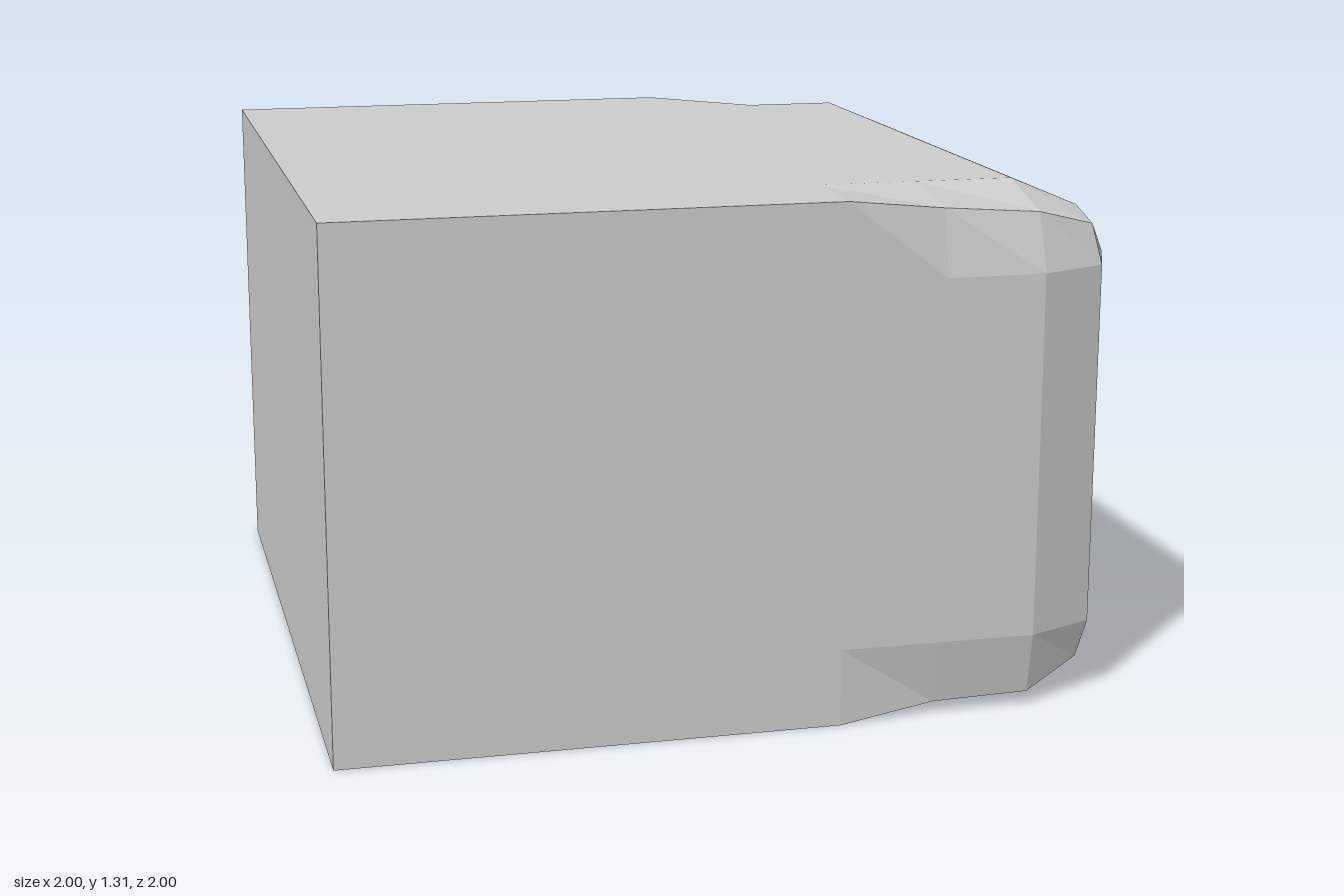
import * as THREE from 'three';

const H = 1.307, MID = H / 2, IN_Y = 0.195;
const material = new THREE.MeshStandardMaterial({ color: 0xcccccc, flatShading: true });

// Flat-shaded mesh from quads of Vector3 corners
function quadMesh(name, quads) {
  const pos = [];
  for (const [a, b, c, d] of quads) {
    for (const [p, q, r] of [[a, b, c], [a, c, d]]) {
      const area = q.clone().sub(p).cross(r.clone().sub(p)).length();
      if (area > 1e-6) for (const v of [p, q, r]) pos.push(v.x, v.y, v.z);
    }
  }
  const g = new THREE.BufferGeometry();
  g.setAttribute('position', new THREE.Float32BufferAttribute(pos, 3));
  g.computeVertexNormals();
  const mesh = new THREE.Mesh(g, material);
  mesh.name = name;
  return mesh;
}

// Cross-section: flat sides inset by e (z, y), corners inset by c (z, y)
function section({ x, e = [0, 0], c = [0, 0], cx = x, frontTop = c }) {
  const ring = [];
  for (const [sz, sy] of [[-1, 1], [1, 1], [1, -1], [-1, -1]]) {
    const k = sz > 0 && sy > 0 ? frontTop : c;
    const pts = [
      new THREE.Vector3(x, MID + sy * (MID - IN_Y), sz * (1 - e[0])),
      new THREE.Vector3(cx, MID + sy * (MID - k[1]), sz * (1 - k[0])),
      new THREE.Vector3(x, MID + sy * (MID - e[1]), sz * 0.75),
    ];
    if (sz * sy > 0) pts.reverse();
    ring.push(...pts);
  }
  return ring;
}

export function createModel() {
  const group = new THREE.Group();
  group.name = 'recessedBlock';

  // Block: square at the back end, rounded towards +x
  const rings = [
    { x: -1 },
    { x: 0.25 },
    { x: 0.5, c: [0.03, 0.03] },
    { x: 0.75, c: [0.032, 0.035], frontTop: [0.055, 0.053] },
    { x: 0.925, cx: 0.905, e: [0.073, 0.073], c: [0.095, 0.095] },
    { x: 1, e: [0.25, IN_Y], c: [0.25, IN_Y] },
  ].map(section);
  const skin = [];
  const n = rings[0].length;
  for (let i = 0; i < rings.length - 1; i++) {
    const a = rings[i], b = rings[i + 1];
    for (let j = 0; j < n; j++) {
      const k = (j + 1) % n;
      skin.push([a[j], a[k], b[k], b[j]]);
    }
  }
  // Flat end at -x
  const s = rings[0];
  skin.push([s[1], s[10], s[7], s[4]]);
  group.add(quadMesh('block', skin));

  // Recess rim as (z, y offset from its middle), counter-clockwise from +x
  const rim = [
    [-0.5, 0], [-0.5, 0.07], [-0.25, 0.25], [0.25, 0.25], [0.5, 0.07],
    [0.5, 0], [0.5, -0.07], [0.25, -0.25], [-0.25, -0.25], [-0.5, -0.07],
  ];
  const RY = 0.64;

  // End face at +x with the recess opening
  const zi = 0.75;
  const shape = new THREE.Shape([
    new THREE.Vector2(-zi, IN_Y), new THREE.Vector2(zi, IN_Y),
    new THREE.Vector2(zi, H - IN_Y), new THREE.Vector2(-zi, H - IN_Y),
  ]);
  shape.holes.push(new THREE.Path(rim.map(([z, y]) => new THREE.Vector2(-z, RY + y))));
  const face = new THREE.Mesh(new THREE.ShapeGeometry(shape).rotateY(Math.PI / 2), material);
  face.position.x = 1;
  face.name = 'endFace';
  group.add(face);

  // Wedge-shaped recess closing to a horizontal line deep inside
  const mouth = rim.map(([z, y]) => new THREE.Vector3(1, RY + y, z));
  const tip = rim.map(([z]) => new THREE.Vector3(-0.25, RY, Math.sign(z) * 0.25));
  group.add(quadMesh('recess', rim.map((_, j) => {
    const k = (j + 1) % rim.length;
    return [mouth[j], mouth[k], tip[k], tip[j]];
  })));

  return group;
}
